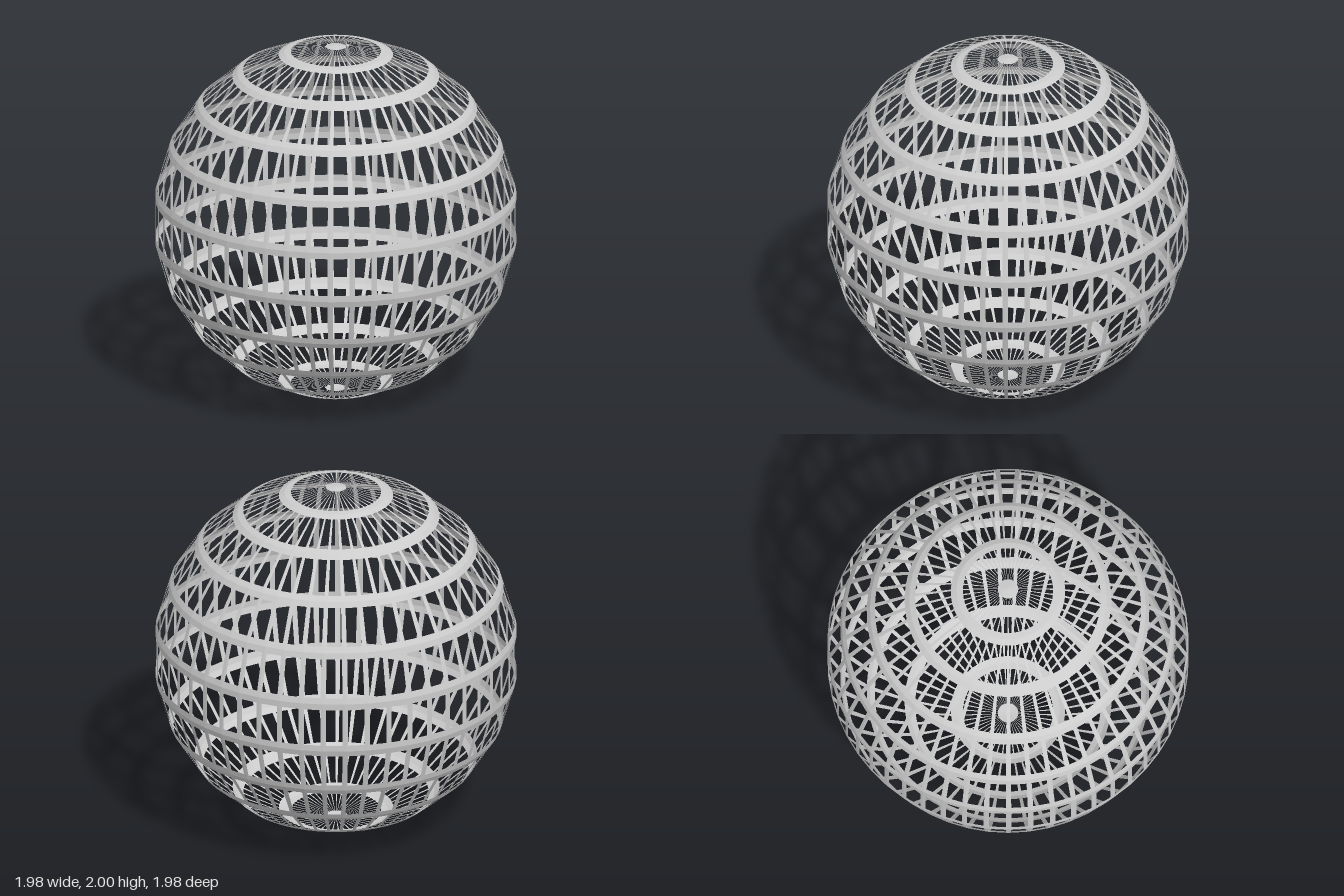
import * as THREE from 'three';

const BANDS = 11;            // latitude bands from pole to pole
const BARS = 51;             // meridian bars
const STEP = (Math.PI * 2) / BARS;
const BAR_HALF = 0.125;      // half bar width as a share of one facet
const RING_HALF = 0.035;     // ring width to each side of its crease
const CAP = 0.2;             // share of the end bands closed by the pole caps

const material = new THREE.MeshStandardMaterial({
  color: 0xcccccc, flatShading: true, side: THREE.DoubleSide,
});

// Profile corner (radius, height) at latitude line i, counted from the top
function corner(i) {
  const a = (Math.PI * i) / BANDS;
  return new THREE.Vector2(Math.sin(a), 1 + Math.cos(a));
}

// Faceted band revolved from a top-to-bottom profile
function addRevolved(group, name, profile) {
  const points = profile.slice().reverse();
  const mesh = new THREE.Mesh(new THREE.LatheGeometry(points, BARS, Math.PI), material);
  mesh.name = name;
  group.add(mesh);
}

// All bars of one band; each is folded along its middle to follow the facets
function barsGeometry(top, bottom) {
  const positions = [];
  const at = (p, a) => new THREE.Vector3(p.x * Math.sin(a), p.y, p.x * Math.cos(a));
  for (let i = 0; i < BARS; i++) {
    const a = Math.PI + i * STEP;
    const across = (p) => [
      at(p, a).lerp(at(p, a - STEP), BAR_HALF),
      at(p, a),
      at(p, a).lerp(at(p, a + STEP), BAR_HALF),
    ];
    const t = across(top), b = across(bottom);
    for (let k = 0; k < 2; k++) {
      for (const v of [t[k], b[k], b[k + 1], t[k], b[k + 1], t[k + 1]]) {
        positions.push(v.x, v.y, v.z);
      }
    }
  }
  const geometry = new THREE.BufferGeometry();
  geometry.setAttribute('position', new THREE.Float32BufferAttribute(positions, 3));
  geometry.computeVertexNormals();
  return geometry;
}

export function createModel() {
  const group = new THREE.Group();
  group.name = 'latticeSphere';

  // Point a fixed distance from corner a towards corner b
  const inset = (a, b, d) => a.clone().lerp(b, d / a.distanceTo(b));

  // Latitude rings, creased along their middle
  for (let i = 1; i < BANDS; i++) {
    const c = corner(i);
    addRevolved(group, 'latitudeRing' + i, [
      inset(c, corner(i - 1), RING_HALF), c, inset(c, corner(i + 1), RING_HALF),
    ]);
  }

  // Meridian bars between neighbouring rings, tapering with the radius
  for (let i = 0; i < BANDS; i++) {
    const upper = corner(i), lower = corner(i + 1);
    const top = i === 0 ? upper.clone().lerp(lower, CAP) : inset(upper, lower, RING_HALF);
    const bottom = i === BANDS - 1 ? lower.clone().lerp(upper, CAP) : inset(lower, upper, RING_HALF);
    const bars = new THREE.Mesh(barsGeometry(top, bottom), material);
    bars.name = 'meridianBars' + (i + 1);
    group.add(bars);
  }

  // Small closed caps at the poles
  const north = new THREE.Vector2(0, 2), south = new THREE.Vector2(0, 0);
  addRevolved(group, 'topCap', [north, north.clone().lerp(corner(1), CAP)]);
  addRevolved(group, 'bottomCap', [south.clone().lerp(corner(BANDS - 1), CAP), south]);

  return group;
}
